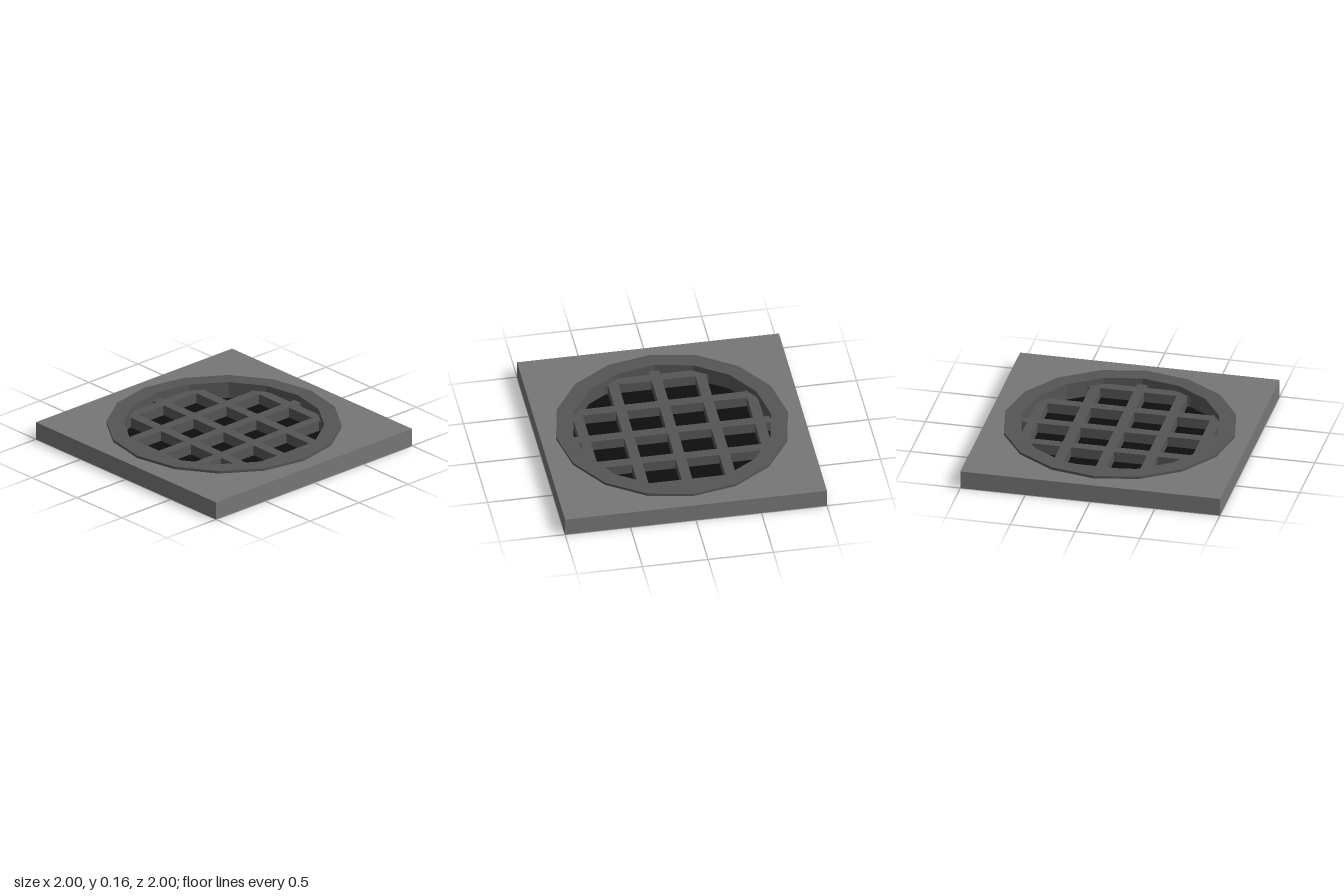
import * as THREE from 'three';

const SIDES = 16;
const R_OUT = 0.885, R_IN = 0.755;
const TILE_TOP = 0.14, RING_TOP = 0.16, FLOOR = 0.03, BAR_TOP = 0.11;

function faceted(geometry) {
  const g = geometry.toNonIndexed();
  g.computeVertexNormals();
  return g;
}

export function createModel() {
  const tileGrey = new THREE.MeshStandardMaterial({ color: 0x777777, side: THREE.DoubleSide });
  tileGrey.name = 'tileGrey';
  const ironGrey = new THREE.MeshStandardMaterial({ color: 0x555555 });
  ironGrey.name = 'ironGrey';
  const drainBlack = new THREE.MeshStandardMaterial({ color: 0x0e0e0e });
  drainBlack.name = 'drainBlack';

  const model = new THREE.Group();
  model.name = 'drainTile';
  const add = (name, geometry, material, parent = model) => {
    const mesh = new THREE.Mesh(geometry, material);
    mesh.name = name;
    parent.add(mesh);
    return mesh;
  };

  // Square slab top with a round opening
  const square = new THREE.Shape();
  square.moveTo(-1, -1).lineTo(1, -1).lineTo(1, 1).lineTo(-1, 1).closePath();
  const opening = [];
  for (let i = 0; i < SIDES; i++) {
    const a = -(i / SIDES) * Math.PI * 2;
    opening.push(new THREE.Vector2(Math.cos(a) * R_OUT, Math.sin(a) * R_OUT));
  }
  square.holes.push(new THREE.Path(opening));
  const top = new THREE.ShapeGeometry(square);
  top.rotateX(-Math.PI / 2).translate(0, TILE_TOP, 0);
  add('slabTop', top, tileGrey);

  // Thin slab walls, open underneath
  for (let i = 0; i < 4; i++) {
    const wall = new THREE.PlaneGeometry(2, TILE_TOP);
    wall.translate(0, TILE_TOP / 2, 1).rotateY(i * Math.PI / 2);
    add('slabWall', wall, tileGrey);
  }

  // Raised rim around the drain
  const profile = [[R_OUT, 0], [R_OUT, RING_TOP], [R_IN, RING_TOP], [R_IN, 0]]
    .map(([r, y]) => new THREE.Vector2(r, y));
  add('rim', faceted(new THREE.LatheGeometry(profile, SIDES)), ironGrey);

  // Dark floor of the drain
  const floor = new THREE.CylinderGeometry(R_OUT - 0.002, R_OUT - 0.002, FLOOR, SIDES);
  floor.translate(0, FLOOR / 2, 0);
  add('drainFloor', faceted(floor), drainBlack);

  // Crossed grate bars
  const grate = new THREE.Group();
  grate.name = 'grate';
  model.add(grate);
  for (let i = -2; i <= 2; i++) {
    for (const turn of [0, Math.PI / 2]) {
      const bar = new THREE.BoxGeometry(0.08, BAR_TOP - FLOOR, 1.54);
      bar.translate(i / 3, (BAR_TOP + FLOOR) / 2, 0).rotateY(turn);
      add('grateBar', bar, ironGrey, grate);
    }
  }
  return model;
}
